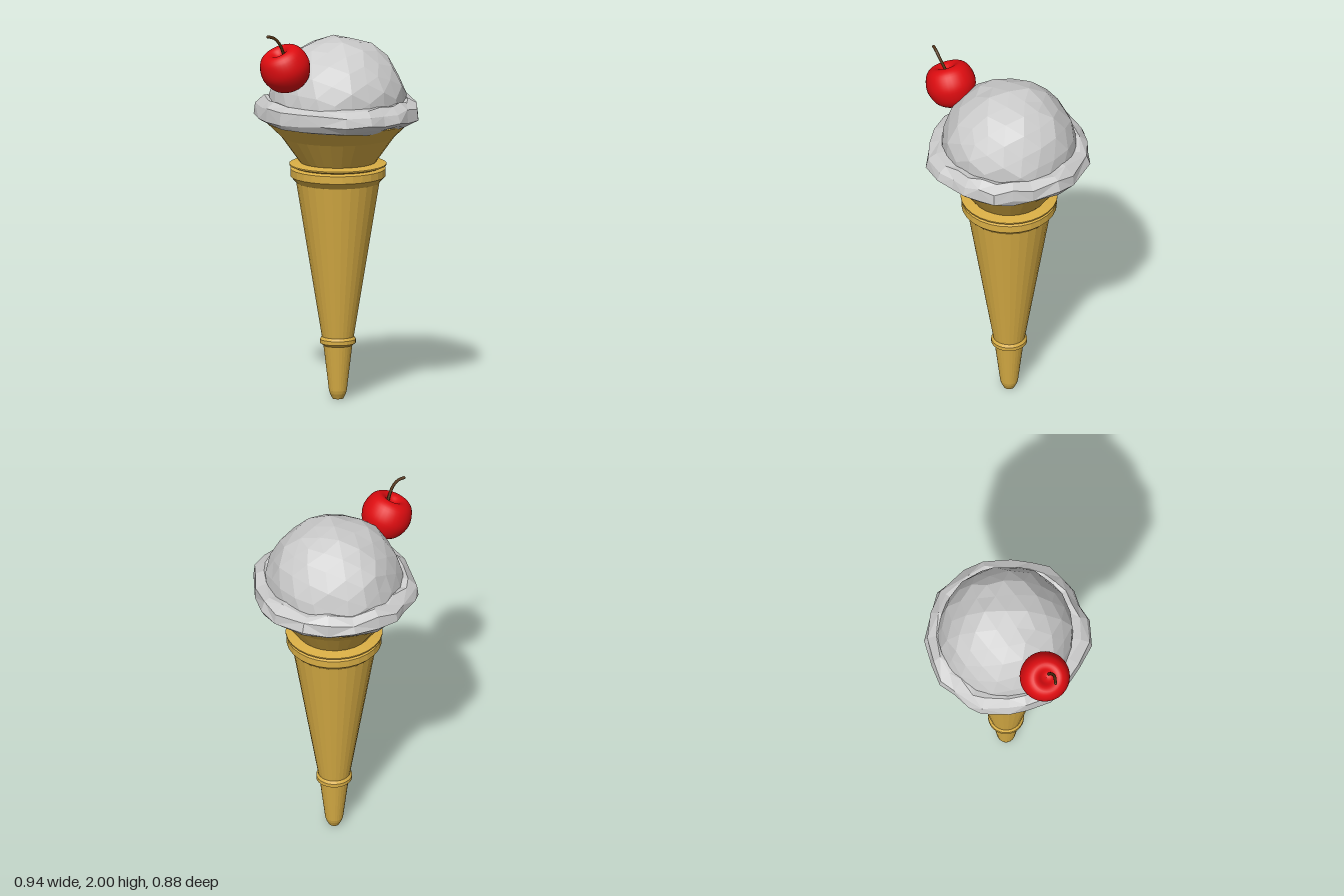
import * as THREE from 'three';

const CX = 0.04, CZ = -0.005; // axis shared by cone and scoop

// Repeatable wobble in the range -1..1
const wobble = (a, b, c) => Math.sin(a * 12.7 + b * 31.3 + Math.sin(c * 17.1 + a * 5.3) * 2.0);
const vectors = (list) => list.map(([x, y]) => new THREE.Vector2(x, y));

function add(group, name, geometry, material) {
  const mesh = new THREE.Mesh(geometry, material);
  mesh.name = name;
  group.add(mesh);
  return mesh;
}

// Dome of ice cream: a faceted ball, flattened where it sits in the cone
function domeGeometry() {
  const geo = new THREE.IcosahedronGeometry(1, 3);
  const p = geo.attributes.position;
  for (let i = 0; i < p.count; i++) {
    const [x, y, z] = [p.getX(i), p.getY(i), p.getZ(i)].map((v) => Math.round(v * 1000) / 1000);
    const r = 0.358 + 0.007 * wobble(x, y, z);
    p.setXYZ(i, x * r, Math.max(1.57 + y * r, 1.53), z * r);
  }
  geo.computeVertexNormals();
  return geo;
}

// Ragged lip around the scoop: one uneven outline, scaled ring by ring
function lipGeometry() {
  const outline = [
    [0, -0.44], [0.11, -0.42], [0.25, -0.38], [0.35, -0.28], [0.44, -0.18], [0.467, 0], [0.46, 0.11],
    [0.38, 0.24], [0.31, 0.32], [0.24, 0.395], [0.15, 0.41], [0.07, 0.435], [-0.02, 0.415],
    [-0.115, 0.415], [-0.24, 0.35], [-0.31, 0.23], [-0.36, 0.12], [-0.388, 0], [-0.36, -0.13],
    [-0.33, -0.22], [-0.25, -0.34], [-0.19, -0.38], [-0.08, -0.405],
  ];
  const rings = [[0.76, 1.6], [0.87, 1.605], [0.975, 1.575], [1, 1.518], [0.94, 1.492], [0.83, 1.475], [0.2, 1.475]];
  const n = outline.length, pos = [], index = [];
  rings.forEach(([s, y], k) => outline.forEach(([x, z], j) => {
    const t = k === 3 ? s : s + 0.02 * wobble(j, k, j + k);
    pos.push((x - CX) * t, y + 0.011 * wobble(k, j, j * 2), (z - CZ) * t);
    if (k === rings.length - 1) return;
    const a = k * n + j, b = k * n + (j + 1) % n;
    if ((j + k) % 2) index.push(a, b, a + n, b, b + n, a + n);
    else index.push(a, b, b + n, a, b + n, a + n);
  }));
  const geo = new THREE.BufferGeometry();
  geo.setAttribute('position', new THREE.Float32BufferAttribute(pos, 3));
  geo.setIndex(index);
  const flat = geo.toNonIndexed();
  flat.computeVertexNormals();
  return flat;
}

export function createModel() {
  const model = new THREE.Group();
  model.name = 'iceCreamCone';
  const wafer = new THREE.MeshStandardMaterial({ color: 0xd9ae45, flatShading: true, side: THREE.DoubleSide });
  const cream = new THREE.MeshStandardMaterial({ color: 0xcccccc, flatShading: true });
  const red = new THREE.MeshStandardMaterial({ color: 0xdd0c10 });
  const brown = new THREE.MeshStandardMaterial({ color: 0x50300f });

  // Cone with its small lower band, double upper band and flared mouth
  const cone = add(model, 'cone', new THREE.LatheGeometry(vectors([
    [0, 0], [0.028, 0], [0.042, 0.028], [0.047, 0.045], [0.076, 0.285], [0.094, 0.298], [0.094, 0.318],
    [0.084, 0.332], [0.219, 1.155], [0.25, 1.188], [0.25, 1.228], [0.232, 1.238], [0.255, 1.247],
    [0.255, 1.254], [0.2, 1.264], [0.297, 1.4], [0.382, 1.482], [0, 1.482],
  ]), 28), wafer);
  cone.position.set(CX, 0, CZ);

  // Scoop
  const scoop = new THREE.Group();
  scoop.name = 'scoop';
  scoop.position.set(CX, 0, CZ);
  add(scoop, 'scoopDome', domeGeometry(), cream);
  add(scoop, 'scoopLip', lipGeometry(), cream);
  model.add(scoop);

  // Cherry, leaning outward, with a dimple around the stem
  const cherry = new THREE.Group();
  cherry.name = 'cherry';
  const profile = new THREE.SplineCurve(vectors([
    [0, -0.118], [0.05, -0.112], [0.1, -0.078], [0.128, -0.02], [0.13, 0.03], [0.112, 0.082],
    [0.08, 0.108], [0.05, 0.104], [0.025, 0.083], [0, 0.072],
  ])).getPoints(32);
  profile.forEach((v) => { v.x = Math.max(v.x, 0); });
  const fruit = add(cherry, 'cherryFruit', new THREE.LatheGeometry(profile, 32), red);
  fruit.position.set(-0.338, 1.803, -0.005);
  fruit.rotation.set(-0.12, 0, 0.42);

  // Bent stem
  const path = new THREE.CatmullRomCurve3([
    [-0.355, 1.86, 0.003], [-0.373, 1.905, 0.008], [-0.405, 1.957, 0.009], [-0.432, 1.983, 0], [-0.46, 1.992, -0.014],
  ].map((v) => new THREE.Vector3(...v)));
  add(cherry, 'cherryStem', new THREE.TubeGeometry(path, 16, 0.008, 8), brown);
  const tip = add(cherry, 'cherryStemTip', new THREE.SphereGeometry(0.0085, 8, 6), brown);
  tip.position.set(-0.46, 1.9915, -0.014);
  model.add(cherry);

  return model;
}
